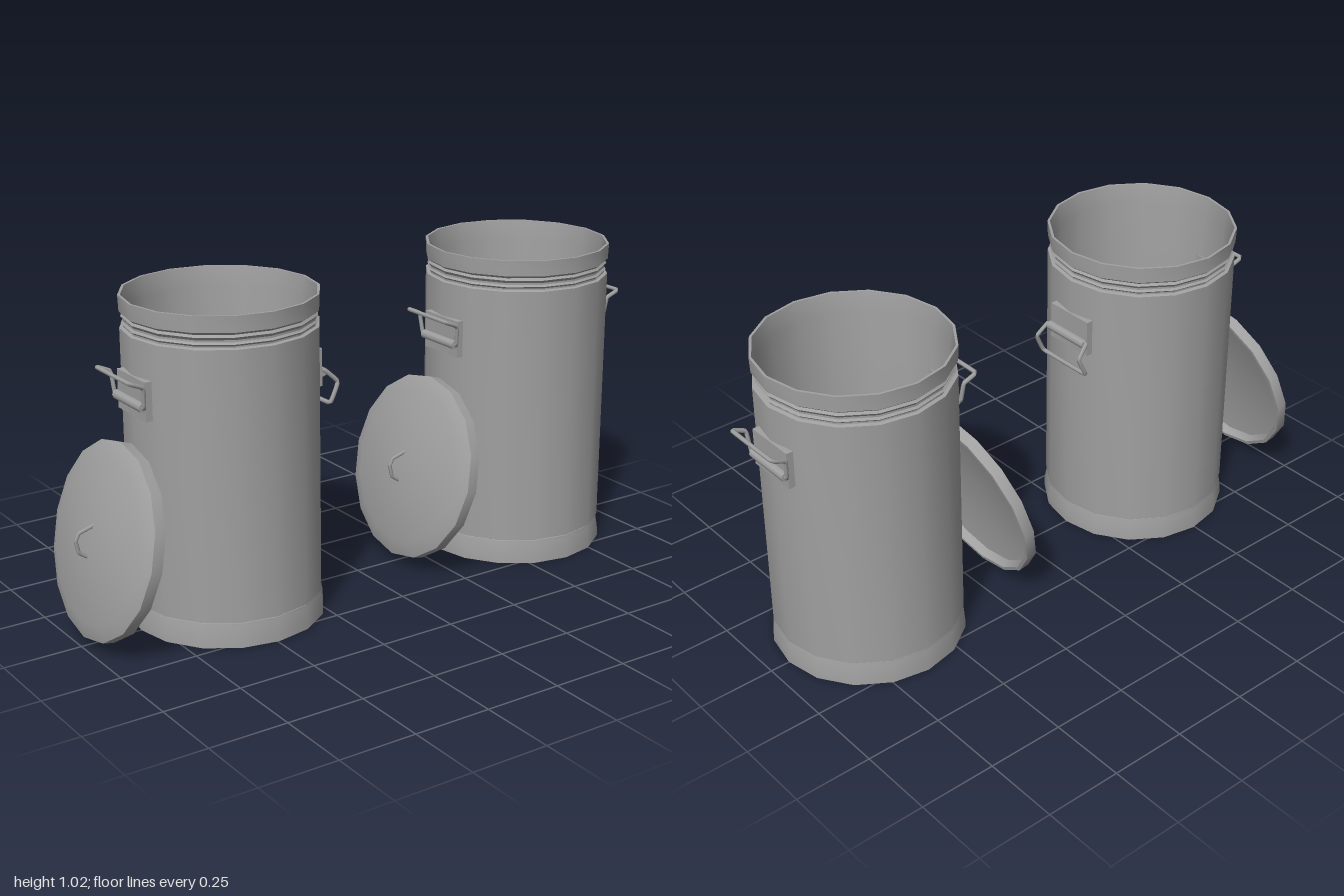
import * as THREE from 'three';
import { toCreasedNormals } from 'three/addons/utils/BufferGeometryUtils.js';

const steel = new THREE.MeshStandardMaterial({ color: 0xa0a0a0 });
steel.name = 'galvanised steel';

function add(parent, name, geometry) {
  const mesh = new THREE.Mesh(geometry, steel);
  mesh.name = name;
  parent.add(mesh);
  return mesh;
}

// Turned part from [radius, height] pairs
function turned(profile, sides = 16) {
  const g = new THREE.LatheGeometry(profile.map(([r, y]) => new THREE.Vector2(r, y)), sides);
  return toCreasedNormals(g, 0.6);
}

// Bent wire through points with tight corners
function wire(points, radius) {
  const curve = new THREE.CatmullRomCurve3(
    points.map((p) => new THREE.Vector3(...p)), false, 'catmullrom', 0.1);
  return new THREE.TubeGeometry(curve, 48, radius, 6);
}

// Bracket and wire grip on the +x side of a can; arm is the grip's [x, y] path
function makeSideHandle(arm) {
  const handle = new THREE.Group();
  handle.name = 'sideHandle';
  add(handle, 'bracketPlate', new THREE.BoxGeometry(0.025, 0.12, 0.17)).position.set(0.292, 0.75, 0);
  const sleeve = add(handle, 'bracketSleeve', new THREE.CylinderGeometry(0.015, 0.015, 0.165, 8));
  sleeve.rotation.x = Math.PI / 2;
  sleeve.position.set(0.31, 0.733, 0);
  const half = arm.map(([x, y], i) => [x, y, i ? 0.1 : 0.09]);
  const back = half.map(([x, y, z]) => [x, y, -z]).reverse();
  const pin = [arm[0][0], arm[0][1], 0.07];
  add(handle, 'grip', wire([pin, ...half, ...back, [pin[0], pin[1], -0.07]], 0.007));
  return handle;
}

function makeLid() {
  const lid = new THREE.Group();
  lid.name = 'lid';
  // Domed shell with a hollow underside
  add(lid, 'lidShell', turned([
    [0, 0.055], [0.2, 0.042], [0.28, 0.028], [0.288, 0], [0.3, 0], [0.302, 0.036],
    [0.288, 0.042], [0.25, 0.055], [0.1, 0.075], [0, 0.08],
  ]));
  add(lid, 'lidHandle', wire(
    [[0.052, 0.065, 0], [0.02, 0.118, 0], [-0.005, 0.123, 0], [-0.04, 0.105, 0], [-0.055, 0.065, 0]], 0.006));
  // Leans against the can
  lid.rotation.z = THREE.MathUtils.degToRad(75.5);
  lid.position.set(-0.385, 0.312, 0);
  return lid;
}

const RAISED = [[0.312, 0.735], [0.318, 0.8], [0.362, 0.82]];
const HANGING = [[0.312, 0.74], [0.352, 0.7], [0.322, 0.637]];

function makeCan(name, rightArm) {
  const can = new THREE.Group();
  can.name = name;
  // Flared foot ring
  add(can, 'foot', turned([
    [0, 0], [0.304, 0], [0.303, 0.03], [0.297, 0.065], [0.295, 0.076], [0.28, 0.078],
  ]));
  // Wall with two beads under the rim, hollow down to the floor
  add(can, 'body', turned([
    [0.285, 0.074], [0.299, 0.08], [0.299, 0.922], [0.288, 0.925], [0.288, 0.93], [0.294, 0.936],
    [0.288, 0.942], [0.288, 0.948], [0.295, 0.957], [0.289, 0.964], [0.299, 0.972], [0.301, 1.022],
    [0.293, 1.022], [0.284, 0.96], [0.284, 0.04], [0, 0.04],
  ]));
  can.add(makeSideHandle(rightArm));
  const other = makeSideHandle(RAISED);
  other.rotation.y = Math.PI;
  can.add(other, makeLid());
  return can;
}

export function createModel() {
  const model = new THREE.Group();
  model.name = 'dustbins';
  const first = makeCan('rightCan', HANGING);
  first.position.x = -0.495;
  const second = makeCan('leftCan', RAISED);
  second.position.x = 0.632;
  model.add(first, second);
  return model;
}
